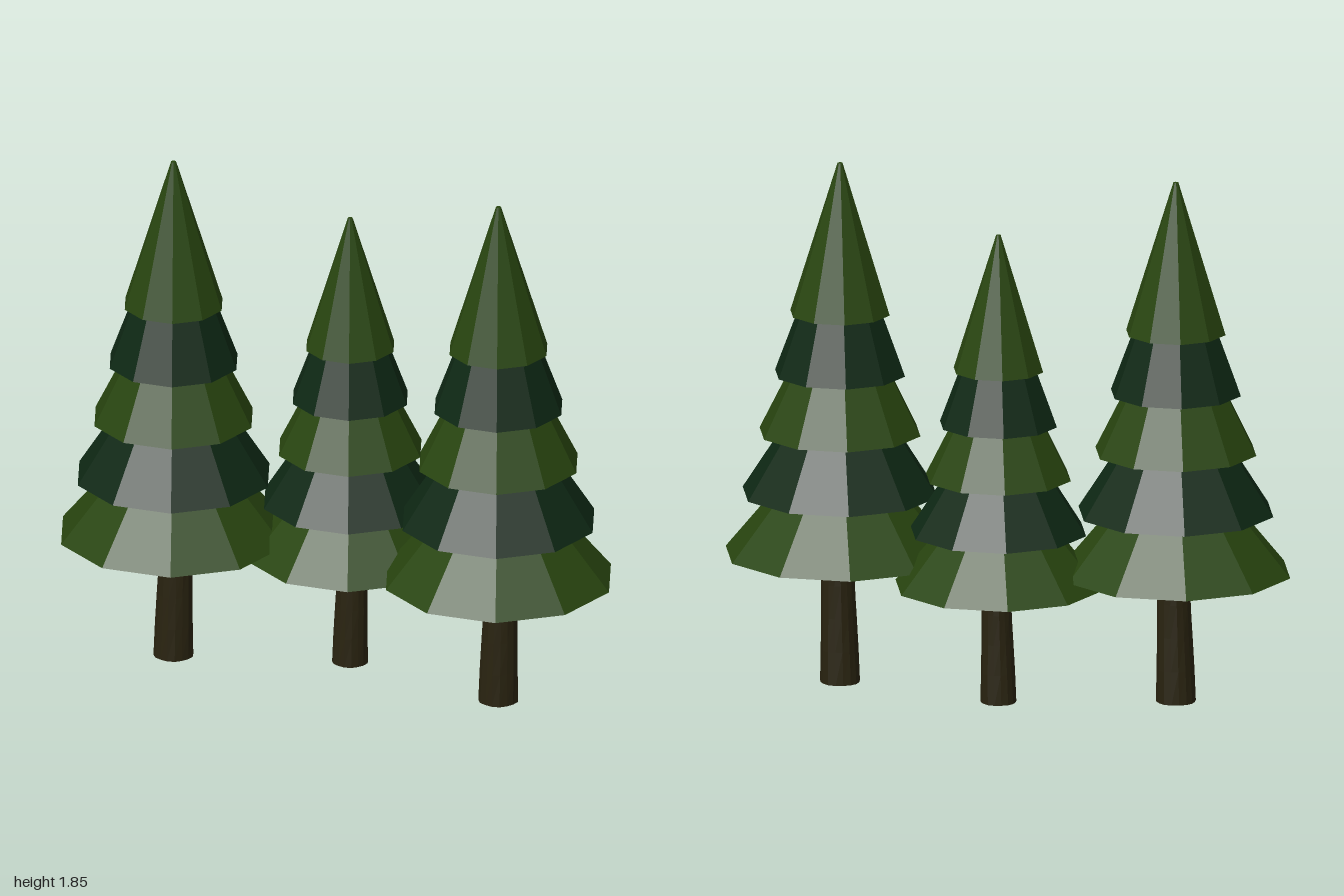
import * as THREE from 'three';

const lightGreen = new THREE.MeshStandardMaterial({ name: 'lightFoliage', color: 0x28450f, flatShading: true });
const darkGreen = new THREE.MeshStandardMaterial({ name: 'darkFoliage', color: 0x0e2814, flatShading: true });
const bark = new THREE.MeshStandardMaterial({ name: 'bark', color: 0x292310, flatShading: true });

// Foliage tiers: bottom height, bottom radius, top height, top radius
const TIERS = [
  [0.46, 0.405, 0.675, 0.228],
  [0.675, 0.345, 0.89, 0.207],
  [0.89, 0.285, 1.10, 0.18],
  [1.10, 0.23, 1.315, 0.15],
  [1.315, 0.176, 1.85, 0.009],
];

// Ten-sided frustum with corners on the x axis
function makeTier([y0, r0, y1, r1], i) {
  const geo = new THREE.CylinderGeometry(r1, r0, y1 - y0, 10, 1, false, Math.PI / 2);
  geo.translate(0, (y0 + y1) / 2, 0);
  const mesh = new THREE.Mesh(geo, i % 2 ? darkGreen : lightGreen);
  mesh.name = `foliageTier${i + 1}`;
  return mesh;
}

// Tapered trunk with shallow bark ridges and a slight lean
function makeTrunk() {
  const height = 0.47;
  const geo = new THREE.CylinderGeometry(0.055, 0.069, height, 16, 4);
  geo.translate(0, height / 2, 0);
  const p = geo.attributes.position;
  for (let i = 0; i < p.count; i++) {
    const x = p.getX(i), y = p.getY(i), z = p.getZ(i);
    const ridge = 1 + 0.025 * Math.sin(Math.atan2(x, z) * 5 + y * 9);
    p.setXYZ(i, x * ridge + 0.01 * y / height, y, z * ridge);
  }
  geo.computeVertexNormals();
  const mesh = new THREE.Mesh(geo, bark);
  mesh.name = 'trunk';
  return mesh;
}

function makeTree(name, x, z, scale) {
  const tree = new THREE.Group();
  tree.name = name;
  tree.add(makeTrunk(), ...TIERS.map(makeTier));
  tree.position.set(x, 0, z);
  tree.scale.setScalar(scale);
  return tree;
}

export function createModel() {
  const model = new THREE.Group();
  model.name = 'pineTrees';
  model.add(
    makeTree('rightTree', -0.595, 0.05, 1),
    makeTree('middleTree', 0, -0.097, 0.9),
    makeTree('leftTree', 0.595, 0.05, 1),
  );
  return model;
}
